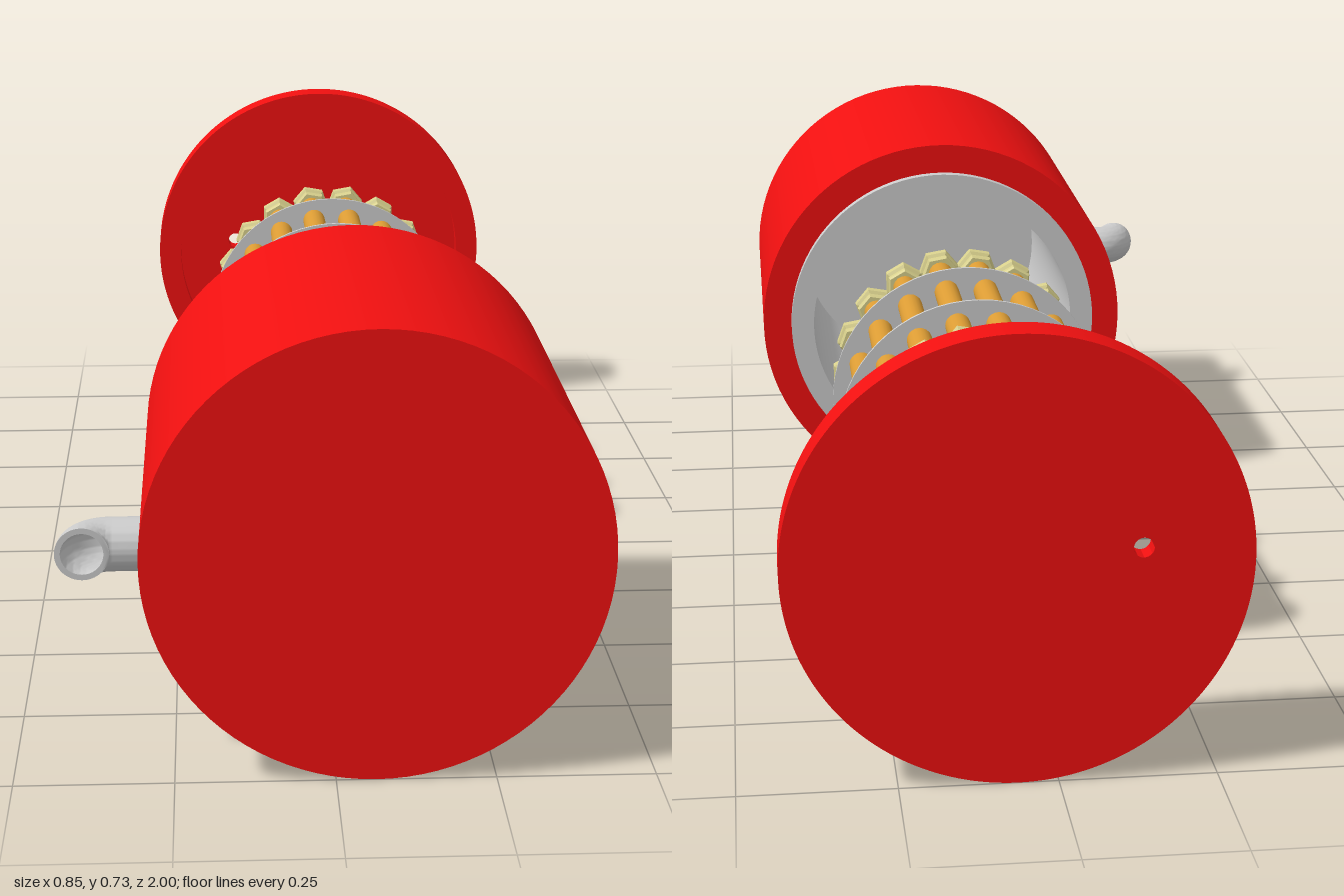
import * as THREE from 'three';
import { toCreasedNormals } from 'three/addons/utils/BufferGeometryUtils.js';

const CX = 0.063, CY = 0.363, R = 0.363;
const mat = (color, flatShading = false) => new THREE.MeshStandardMaterial({ color, flatShading });
const RED = mat(0xf01010), GREY = mat(0xcccccc), GOLD = mat(0xdc9c34), BRASS = mat(0xd8d08c, true);

function add(parent, name, geometry, material, x = 0, y = 0, z = 0) {
  const mesh = new THREE.Mesh(geometry, material);
  mesh.name = name;
  mesh.position.set(x, y, z);
  parent.add(mesh);
  return mesh;
}

// Turned solid about the z axis; profile is [radius, z] with z rising on the outside
function turned(profile, segments = 96) {
  const g = new THREE.LatheGeometry(profile.map(([r, z]) => new THREE.Vector2(r, z)), segments);
  return toCreasedNormals(g.rotateX(Math.PI / 2), 0.6);
}

// Disc with one round hole, extruded along z
function pierced(radius, holeX, holeY, holeR, depth) {
  const shape = new THREE.Shape().absarc(0, 0, radius, 0, Math.PI * 2);
  shape.holes.push(new THREE.Path().absarc(holeX, holeY, holeR, 0, Math.PI * 2, true));
  return toCreasedNormals(new THREE.ExtrudeGeometry(shape, { depth, bevelEnabled: false, curveSegments: 96 }), 0.6);
}

export function createModel() {
  const root = new THREE.Group();
  const body = new THREE.Group();
  body.name = 'body';
  body.position.set(CX, CY, 0);
  root.add(body);

  // Outer casing, open at the back; its profile runs from the mouth round to the inner floor
  add(body, 'casing', turned([[0.3, 0.34], [R, 0.34], [R, 1], [0, 1]]), RED);

  // Grey liner standing slightly proud of the casing mouth
  add(body, 'liner', turned([[0, 0.96], [0.262, 0.96], [0.262, 0.32], [0.307, 0.32], [0.307, 0.98]]), GREY);

  // Lid: a floor with a small vent hole and a raised rim facing the casing
  const lid = new THREE.Group();
  lid.name = 'lid';
  body.add(lid);
  add(lid, 'lidFloor', pierced(R, -0.19, 0.02, 0.016, 0.035), RED, 0, 0, -1);
  add(lid, 'lidRim', pierced(R, 0, 0, 0.315, 0.028), RED, 0, 0, -0.965);

  // Bundle of capped rods in concentric rings
  const bundle = new THREE.Group();
  bundle.name = 'rodBundle';
  body.add(bundle);
  const zFront = 0.004, zBack = -0.551, zMid = (zFront + zBack) / 2;
  const rod = new THREE.CylinderGeometry(0.022, 0.022, 0.5, 20).rotateX(Math.PI / 2);
  // Six-sided cap: inner collar, waist, chamfered head
  const cap = turned([
    [0, 0], [0.031, 0], [0.034, 0.004], [0.034, 0.014], [0.027, 0.02], [0.027, 0.024],
    [0.037, 0.029], [0.037, 0.047], [0.033, 0.052], [0, 0.052],
  ], 6);
  for (let ring = 0; ring < 4; ring++) {
    const count = Math.max(1, ring * 6);
    for (let i = 0; i < count; i++) {
      const a = (i / count) * Math.PI * 2;
      const x = Math.cos(a) * ring * 0.068, y = Math.sin(a) * ring * 0.068;
      add(bundle, 'rod', rod, GOLD, x, y, zMid);
      add(bundle, 'frontCap', cap, BRASS, x, y, zFront - 0.052).rotation.z = a;
      const back = add(bundle, 'backCap', cap, BRASS, x, y, zBack + 0.052);
      back.rotation.set(0, Math.PI, a);
    }
  }

  // Thin spacer plates holding the rods
  const plate = new THREE.CylinderGeometry(0.245, 0.245, 0.006, 64).rotateX(Math.PI / 2);
  for (const z of [-0.172, -0.39]) add(bundle, 'spacerPlate', plate, GREY, 0, 0, z);

  // Elbow spout leaving the side of the casing and turning to the front
  const v = (x, z) => new THREE.Vector3(x, CY, z);
  const path = new THREE.CurvePath();
  path.add(new THREE.LineCurve3(v(-0.22, 0.912), v(-0.343, 0.912)));
  path.add(new THREE.CubicBezierCurve3(v(-0.343, 0.912), v(-0.367, 0.912), v(-0.386, 0.931), v(-0.386, 0.955)));
  const section = new THREE.Shape().absarc(0, 0, 0.042, 0, Math.PI * 2);
  section.holes.push(new THREE.Path().absarc(0, 0, 0.033, 0, Math.PI * 2, true));
  const spout = new THREE.ExtrudeGeometry(section, { steps: 32, extrudePath: path, curveSegments: 32 });
  const spoutMat = GREY.clone();
  spoutMat.side = THREE.DoubleSide;
  add(root, 'spout', toCreasedNormals(spout, 0.7), spoutMat);

  return root;
}
